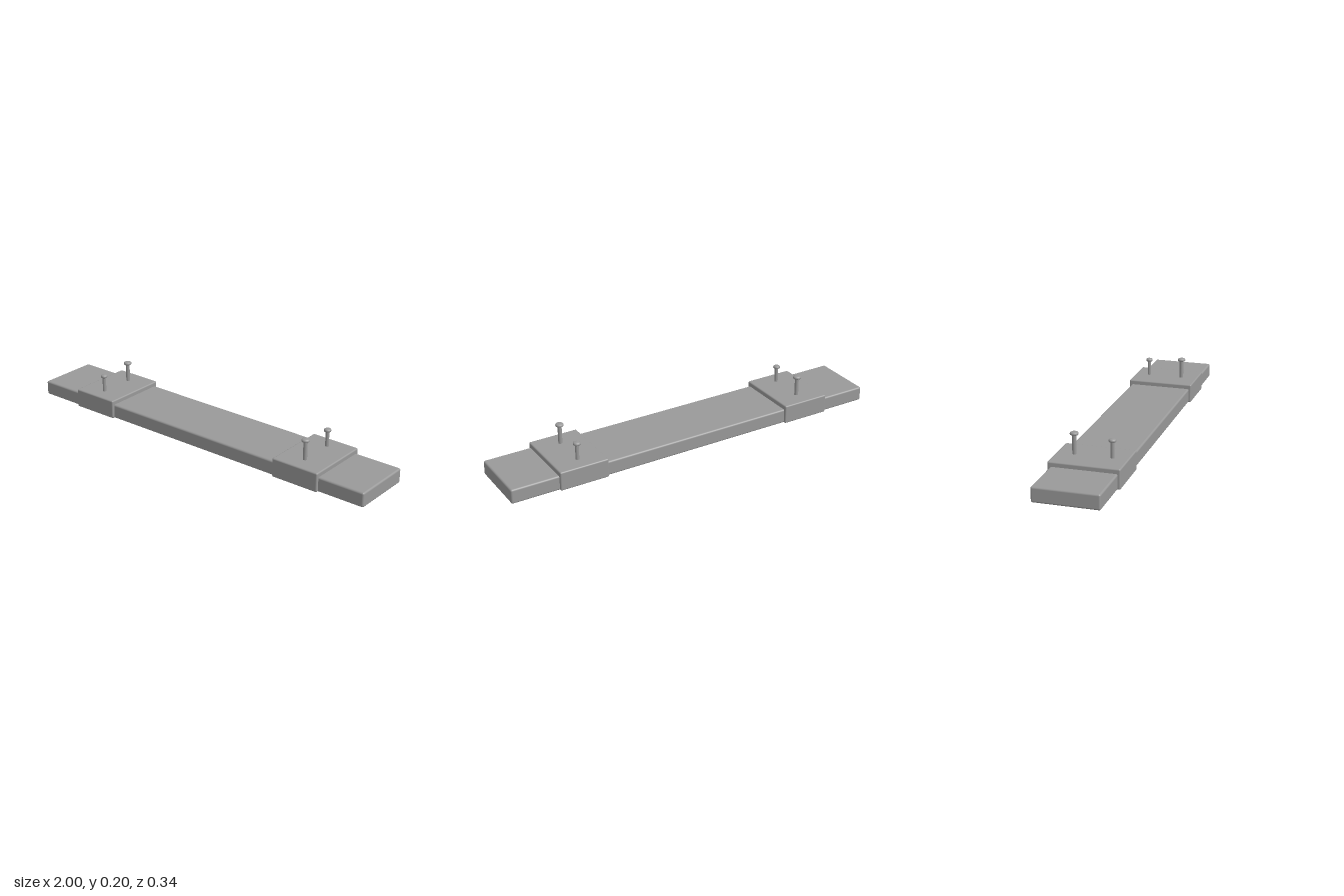
import * as THREE from 'three';
import { RoundedBoxGeometry } from 'three/addons/geometries/RoundedBoxGeometry.js';

export function createModel() {
  const model = new THREE.Group();
  const grey = new THREE.MeshStandardMaterial({ color: 0x999999 });
  grey.name = 'plain grey';

  const add = (name, geometry, x, y, z, parent = model) => {
    const mesh = new THREE.Mesh(geometry, grey);
    mesh.name = name;
    mesh.position.set(x, y, z);
    parent.add(mesh);
    return mesh;
  };

  // Long plank standing on the ground
  add('plank', new RoundedBoxGeometry(2, 0.074, 0.316, 3, 0.009), 0, 0.037, 0);

  // Wider bands wrapped around the plank near each end
  for (const side of [-1, 1]) {
    const name = side > 0 ? 'leftBand' : 'rightBand';
    add(name, new RoundedBoxGeometry(0.252, 0.097, 0.341, 3, 0.007), side * 0.632, 0.0485, 0);
  }

  // Nail: round shank with a wide, softly domed head
  const addNail = (name, x, z, top, headRadius, shankRadius) => {
    const nail = new THREE.Group();
    nail.name = name;
    nail.position.set(x, 0, z);
    model.add(nail);

    const bottom = 0.085;
    const headHeight = 0.016;
    const shankTop = top - headHeight + 0.002;
    add('shank', new THREE.CylinderGeometry(shankRadius, shankRadius, shankTop - bottom, 20),
      0, (shankTop + bottom) / 2, 0, nail);

    const profile = [
      [0, 0], [0.8, 0], [0.95, 0.12], [1, 0.3],
      [1, 0.55], [0.9, 0.78], [0.65, 0.94], [0, 1],
    ].map(([r, h]) => new THREE.Vector2(r * headRadius, h * headHeight));
    add('head', new THREE.LatheGeometry(profile, 24), 0, top - headHeight, 0, nail);
  };

  // One tall and one short nail per band, swapped between the ends
  for (const side of [-1, 1]) {
    const end = side > 0 ? 'left' : 'right';
    addNail(end + 'TallNail', side * 0.632, side * 0.085, 0.204, 0.02, 0.01);
    addNail(end + 'ShortNail', side * 0.632, side * -0.095, 0.189, 0.0175, 0.009);
  }

  return model;
}
